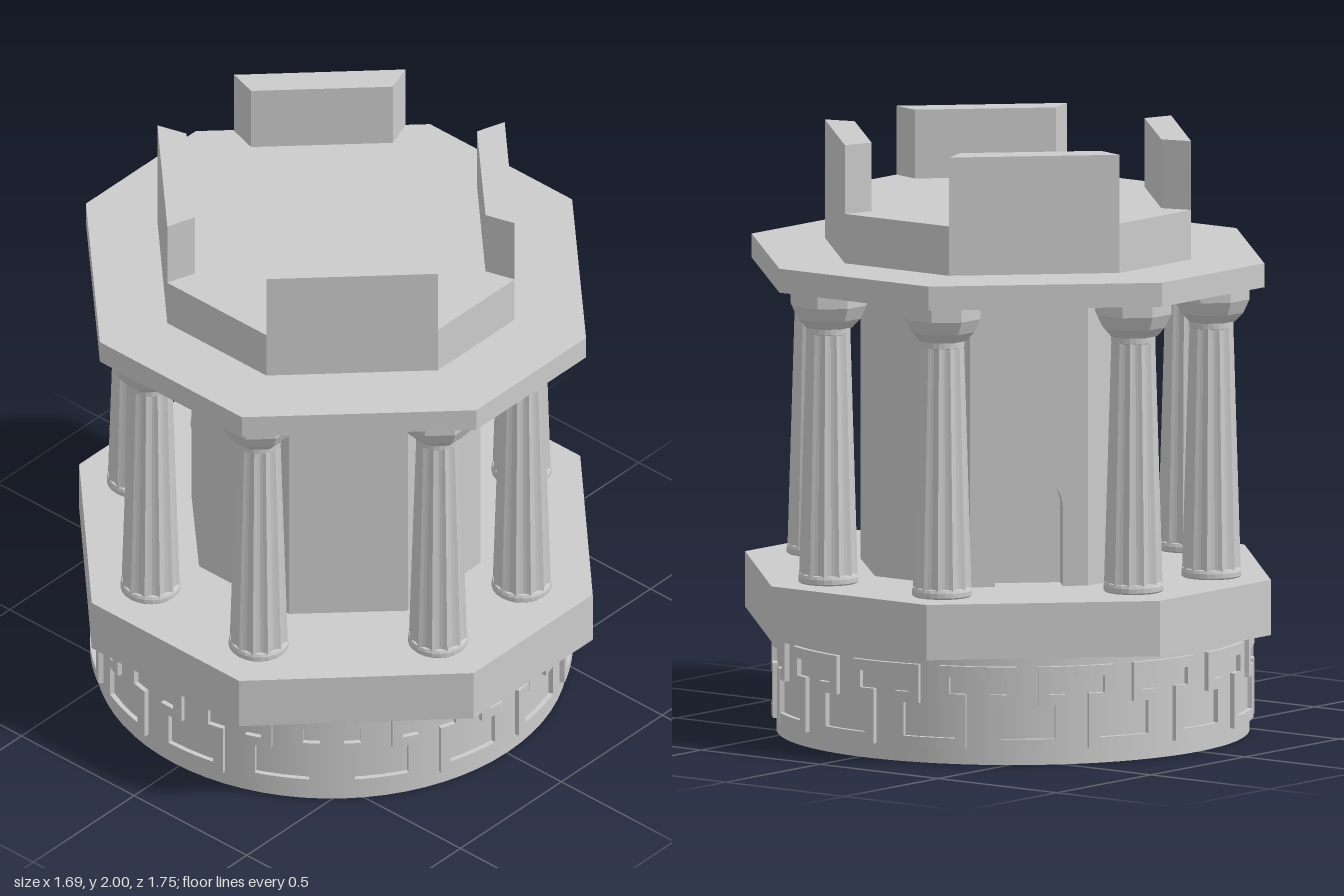
import * as THREE from 'three';
import { mergeGeometries } from 'three/addons/utils/BufferGeometryUtils.js';

const flat = new THREE.MeshStandardMaterial({ color: 0xcccccc, flatShading: true });
const smooth = new THREE.MeshStandardMaterial({ color: 0xcccccc, side: THREE.DoubleSide });

// Octagon corners [x, z]: half sizes hx, hz; ends of the straight sides at cx, cz
const octagon = (hx, hz, cx, cz) => [
  [cx, hz], [hx, cz], [hx, -cz], [cx, -hz], [-cx, -hz], [-hx, -cz], [-hx, cz], [-cx, hz],
];

const toPath = (points) => points.map(([x, z]) => new THREE.Vector2(x, -z));

// Upright prism over a floor plan, optionally with a hole
function prism(points, y0, y1, hole) {
  const shape = new THREE.Shape(toPath(points));
  if (hole) shape.holes.push(new THREE.Path(toPath(hole)));
  return new THREE.ExtrudeGeometry(shape, { depth: y1 - y0, bevelEnabled: false })
    .rotateX(-Math.PI / 2).translate(0, y0, 0);
}

// Curved bar on the drum: u is arc length, y is height
function curvedBar(u0, u1, y0, y1, rIn, rOut) {
  const g = new THREE.BoxGeometry(u1 - u0, y1 - y0, rOut - rIn, u1 - u0 > 0.06 ? 6 : 1, 1, 1);
  g.translate((u0 + u1) / 2, (y0 + y1) / 2, (rIn + rOut) / 2);
  const p = g.attributes.position;
  for (let i = 0; i < p.count; i++) {
    const a = p.getX(i) / rOut, r = p.getZ(i);
    p.setXYZ(i, Math.sin(a) * r, p.getY(i), Math.cos(a) * r);
  }
  return g;
}

function createDrum() {
  const group = new THREE.Group();
  group.name = 'baseDrum';
  group.position.set(0.005, 0, -0.025);
  const wall = new THREE.Mesh(new THREE.CylinderGeometry(0.782, 0.782, 0.36, 72, 1, true), smooth);
  wall.name = 'drumWall';
  wall.position.y = 0.18;
  group.add(wall);

  // Key pattern ribbon, one repeat traced by its centre line
  const units = 15, rOut = 0.798, half = Math.PI * rOut / units, w = 0.018;
  const path = [[-half, 0.07], [-0.058, 0.07], [-0.058, 0.218], [-0.114, 0.218], [-0.114, 0.311],
    [0.114, 0.311], [0.114, 0.218], [0.058, 0.218], [0.058, 0.07], [half, 0.07]];
  const bars = [];
  for (let i = 0; i < path.length - 1; i++) {
    const [a, b] = [path[i], path[i + 1]];
    bars.push(curvedBar(Math.min(a[0], b[0]) - w, Math.max(a[0], b[0]) + w,
      Math.min(a[1], b[1]) - w, Math.max(a[1], b[1]) + w, 0.768, rOut));
  }
  const unit = mergeGeometries(bars);
  for (let i = 0; i < units; i++) {
    const key = new THREE.Mesh(unit, flat);
    key.name = 'keyPattern';
    key.rotation.y = i * 2 * Math.PI / units;
    group.add(key);
  }
  return group;
}

// Tapered fluted shaft with a foot and an eight-sided capital
function columnGeometry() {
  const flutes = 12, h = 0.83;
  const shaft = new THREE.CylinderGeometry(0.073, 0.098, h, flutes * 4, 1, true);
  const p = shaft.attributes.position;
  for (let i = 0; i < p.count; i++) {
    const a = Math.atan2(p.getX(i), p.getZ(i));
    const k = 1 - 0.1 * Math.abs(Math.sin(a * flutes / 2));
    p.setX(i, p.getX(i) * k);
    p.setZ(i, p.getZ(i) * k);
  }
  shaft.translate(0, 0.565 + h / 2, 0);
  const lathe = (pts, n) => new THREE.LatheGeometry(pts.map(([r, y]) => new THREE.Vector2(r, y)), n);
  const foot = lathe([[0.09, 0.54], [0.1, 0.55], [0.1, 0.565], [0.096, 0.575], [0.08, 0.58]], 24);
  const neck = lathe([[0.06, 1.375], [0.074, 1.38], [0.074, 1.4], [0.08, 1.405]], 24);
  const cap = lathe([[0.06, 1.395], [0.082, 1.4], [0.11, 1.43], [0.131, 1.475], [0.131, 1.53]], 8)
    .rotateY(Math.PI / 8);
  return mergeGeometries([shaft, foot, neck, cap]);
}

export function createModel() {
  const model = new THREE.Group();
  model.name = 'octagonalTower';
  const add = (name, geometry, material = flat) => {
    const mesh = new THREE.Mesh(geometry, material);
    mesh.name = name;
    model.add(mesh);
    return mesh;
  };

  model.add(createDrum());

  // Floor slab with a shallow recess underneath
  const floor = octagon(0.845, 0.875, 0.295, 0.327);
  const parapetPlan = octagon(0.59, 0.622, 0.19, 0.22);
  add('floorRim', prism(floor, 0.36, 0.4, parapetPlan));
  add('floorSlab', prism(floor, 0.4, 0.545));

  // Inner chamber, notched on one diagonal side for the doorway wall
  const core = octagon(0.455, 0.48, 0.18, 0.2);
  const [v1, v2] = [core[2], core[3]];
  const dx = v2[0] - v1[0], dz = v2[1] - v1[1], len = Math.hypot(dx, dz), depth = 0.085;
  const n = [-dz / len, dx / len];
  const inset = ([x, z]) => [x - n[0] * depth, z - n[1] * depth];
  add('chamber', prism([...core.slice(0, 3), inset(v1), inset(v2), ...core.slice(3)], 0.545, 1.525));

  const top = 0.98, r = 0.113, spring = 0.262;
  const wall = new THREE.Shape([[-len / 2, 0], [-r, 0], [-r, spring]].map((q) => new THREE.Vector2(...q)));
  wall.absarc(0, spring, r, Math.PI, 0, true);
  wall.lineTo(r, 0);
  wall.lineTo(len / 2, 0);
  wall.lineTo(len / 2, top);
  wall.lineTo(-len / 2, top);
  const door = add('archedDoorWall', new THREE.ExtrudeGeometry(wall,
    { depth, bevelEnabled: false, curveSegments: 20 }));
  const [ix, iz] = inset([(v1[0] + v2[0]) / 2, (v1[1] + v2[1]) / 2]);
  door.position.set(ix, 0.545, iz);
  door.rotation.y = Math.atan2(-Math.abs(dz) * -1, -Math.abs(dx));
  door.rotation.y = Math.atan2(Math.abs(n[0]), -Math.abs(n[1]));

  // Ring of eight columns
  const column = columnGeometry();
  for (const s of [-1, 1]) {
    for (const [x, z] of [[-0.24, 0.668 * s], [0.175, 0.668 * s], [-0.65, 0.24 * s], [0.652, 0.24 * s]]) {
      add('column', column).position.set(x, 0, z);
    }
  }

  // Roof slab, upper platform and the four diagonal parapet walls
  add('roofSlab', prism(octagon(0.818, 0.866, 0.272, 0.315), 1.525, 1.605));
  add('platform', prism(parapetPlan, 1.605, 1.77));
  for (const sx of [-1, 1]) {
    for (const sz of [-1, 1]) {
      const plan = [[0.19, 0.622], [0.59, 0.22], [0.49, 0.187], [0.16, 0.52]];
      add('parapetWall', prism(plan.map(([x, z]) => [x * sx, z * sz]), 1.77, 2));
    }
  }
  return model;
}
